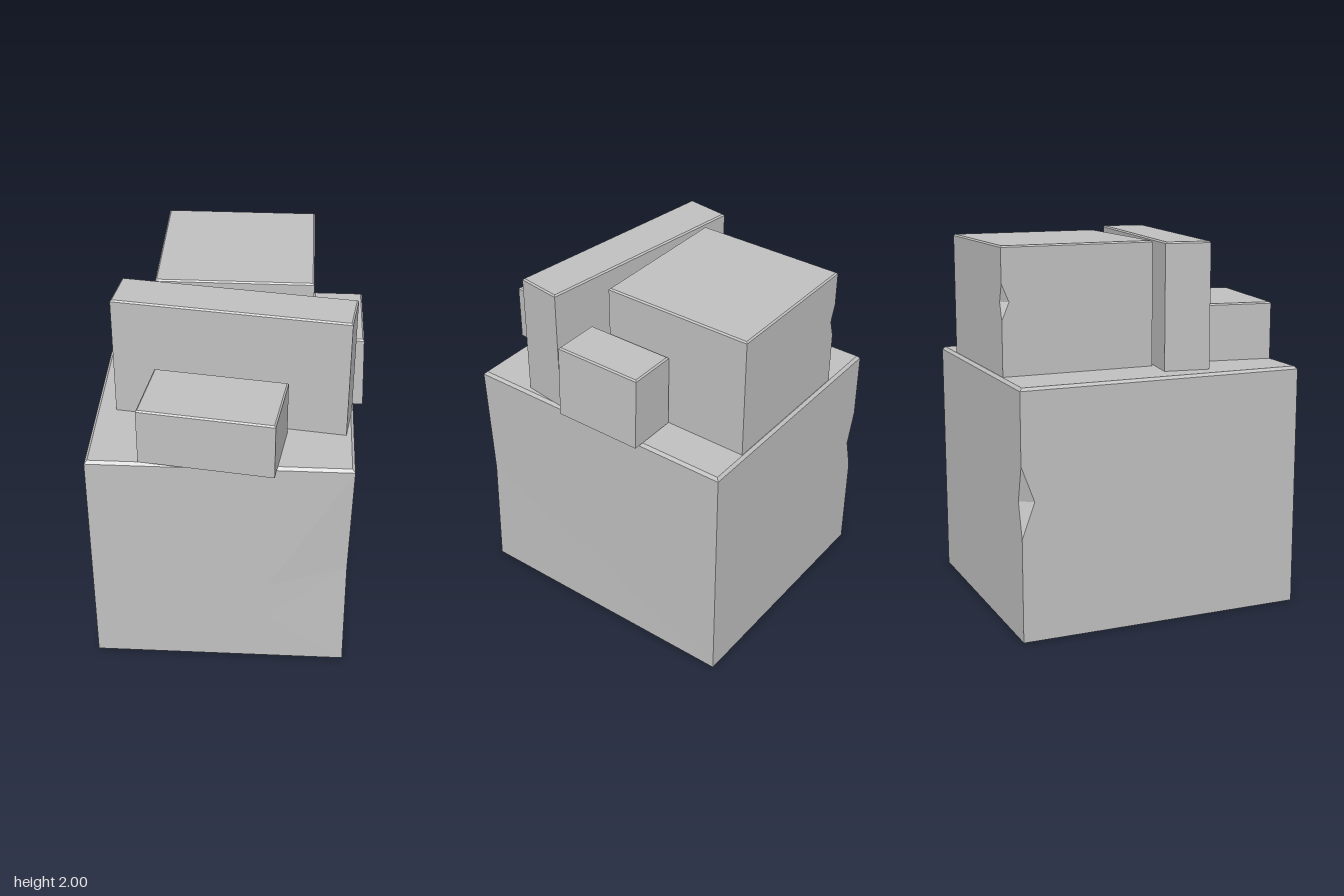
import * as THREE from 'three';

// Flat-faced geometry from polygons; each is fanned from its first corner
function fromPolygons(polygons) {
  const out = [];
  for (const p of polygons)
    for (let i = 1; i < p.length - 1; i++) out.push(...p[0], ...p[i], ...p[i + 1]);
  const g = new THREE.BufferGeometry();
  g.setAttribute('position', new THREE.Float32BufferAttribute(out, 3));
  g.computeVertexNormals();
  return g;
}

// Block with a small bevel round the top, optionally with a chip in the
// back edge, a dent in the front edge and a slanted +x side
function block({ x, y, z, bevel = 0.008, chip, dent, slant = 0 }) {
  const [x0, x1] = x, [y0, y2] = y, [z0, z1] = z;
  const y1 = y2 - bevel;
  // Corner rings, counter-clockwise from above, starting front left
  const ring = (h, inset, lean) => [
    [x0 + inset, h, z1 - inset], [x1 - inset - lean, h, z1 - inset],
    [x1 - inset - lean, h, z0 + inset], [x0 + inset, h, z0 + inset],
  ];
  const low = ring(y0, 0, 0), mid = ring(y1, 0, slant), top = ring(y2, bevel, slant);
  const polys = [top, [...low].reverse()];
  for (let i = 0; i < 4; i++) {
    const j = (i + 1) % 4;
    polys.push([mid[i], mid[j], top[j], top[i]]);
  }

  // Front and +x sides, with a shallow dent along their shared edge
  if (dent) {
    const { edge, upper, lower } = dent;
    polys.push([upper, edge, mid[1], mid[0], low[0], lower, edge]);
    polys.push([lower, low[0], low[1], edge]);
    polys.push([edge, low[1], low[2], mid[2], mid[1]]);
  } else {
    polys.push([low[0], low[1], mid[1], mid[0]]);
    polys.push([low[1], low[2], mid[2], mid[1]]);
  }

  // Back and -x sides, with a wedge knocked out of their shared edge
  if (chip) {
    const T = [x0, chip.y + chip.r, z0], B = [x0, chip.y - chip.r, z0];
    const L = [x0 + chip.dx, chip.y, z0], R = [x0, chip.y, z0 + chip.dz];
    polys.push([L, T, mid[3], mid[2], low[2], low[3], B]);
    polys.push([R, B, low[3], low[0], mid[0], mid[3], T]);
    polys.push([T, L, R], [B, R, L]);
  } else {
    polys.push([low[2], low[3], mid[3], mid[2]]);
    polys.push([low[3], low[0], mid[0], mid[3]]);
  }
  return fromPolygons(polys);
}

export function createModel() {
  const group = new THREE.Group();
  const grey = new THREE.MeshStandardMaterial({ color: 0xc0c0c0 });
  grey.name = 'plain grey';

  const add = (name, spec, px = 0, pz = 0, turn = 0) => {
    const mesh = new THREE.Mesh(block(spec), grey);
    mesh.name = name;
    mesh.position.set(px, 0, pz);
    mesh.rotation.y = turn;
    group.add(mesh);
  };

  // Large block at the bottom
  add('baseBlock', {
    x: [-0.72, 0.66], y: [0, 1.325], z: [-0.83, 0.743], bevel: 0.015, slant: -0.005,
    chip: { y: 0.74, r: 0.19, dx: 0.05, dz: 0.07 },
    dent: { edge: [0.655, 0.66, 0.725], upper: [0.23, 0.52, 0.743], lower: [0.23, 0.3, 0.743] },
  });

  // Blocks resting on top
  add('tallBlock', {
    x: [-0.405, 0.43], y: [1.325, 1.995], z: [-0.812, 0.028],
    chip: { y: 1.71, r: 0.095, dx: 0.03, dz: 0.04 },
  });
  add('uprightSlab', { x: [-0.624, 0.624], y: [1.325, 2], z: [-0.124, 0.124] }, 0.022, 0.228, -0.137);
  add('frontBlock', { x: [-0.355, 0.355], y: [1.325, 1.64], z: [-0.2, 0.2] }, -0.066, 0.579, -0.139);
  add('sideBlock', { x: [0.435, 0.715], y: [1.33, 1.735], z: [-0.355, 0.145], slant: 0.014 });

  return group;
}
